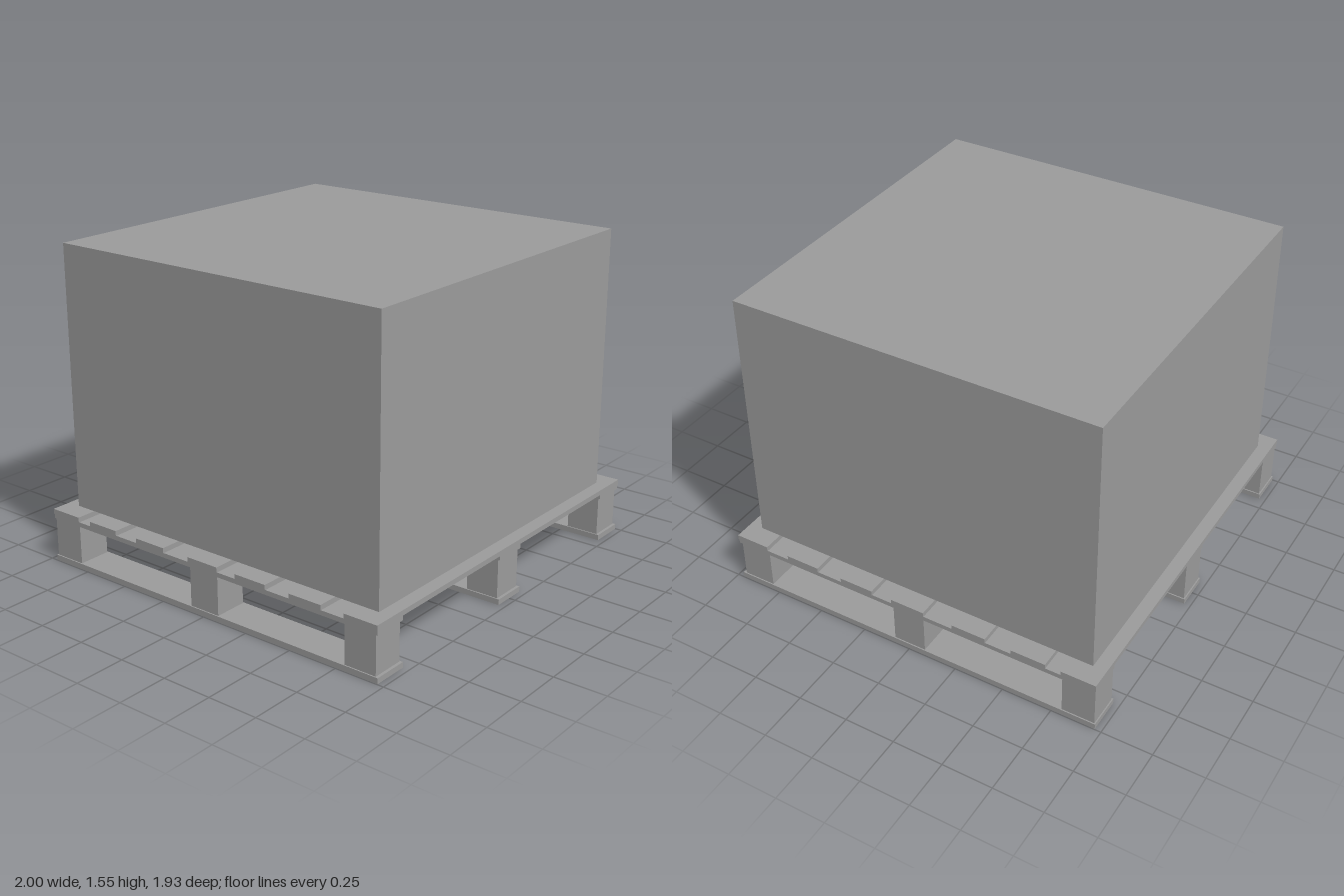
import * as THREE from 'three';

const material = new THREE.MeshStandardMaterial({ color: 0x9b9b9b });

// Box given by its centre in x and z, its bottom and top, and its footprint
function addBox(parent, name, x, z, bottom, top, width, depth) {
  const mesh = new THREE.Mesh(new THREE.BoxGeometry(width, top - bottom, depth), material);
  mesh.name = name;
  mesh.position.set(x, (bottom + top) / 2, z);
  parent.add(mesh);
}

export function createModel() {
  const model = new THREE.Group();
  model.name = 'loadedPallet';
  const pallet = new THREE.Group();
  pallet.name = 'pallet';
  model.add(pallet);

  // Three runners: bottom board, three blocks and upper stringer board
  for (const x of [-0.909, 0, 0.909]) {
    const runner = new THREE.Group();
    runner.name = 'runner';
    addBox(runner, 'bottomBoard', x, 0, 0, 0.027, 0.175, 1.935);
    for (const z of [-0.88, 0, 0.872]) {
      addBox(runner, 'block', x, z, 0.027, 0.219, 0.163, 0.163);
    }
    addBox(runner, 'stringerBoard', x, 0, 0.219, 0.242, 0.175, 1.93);
    pallet.add(runner);
  }

  // Seven deck boards across the runners
  for (const z of [-0.88, -0.63, -0.325, 0, 0.28, 0.585, 0.88]) {
    addBox(pallet, 'deckBoard', 0, z, 0.242, 0.267, 2, 0.173);
  }

  // Crate resting on the deck
  addBox(model, 'crate', 0, 0, 0.267, 1.554, 1.8, 1.8);
  return model;
}
